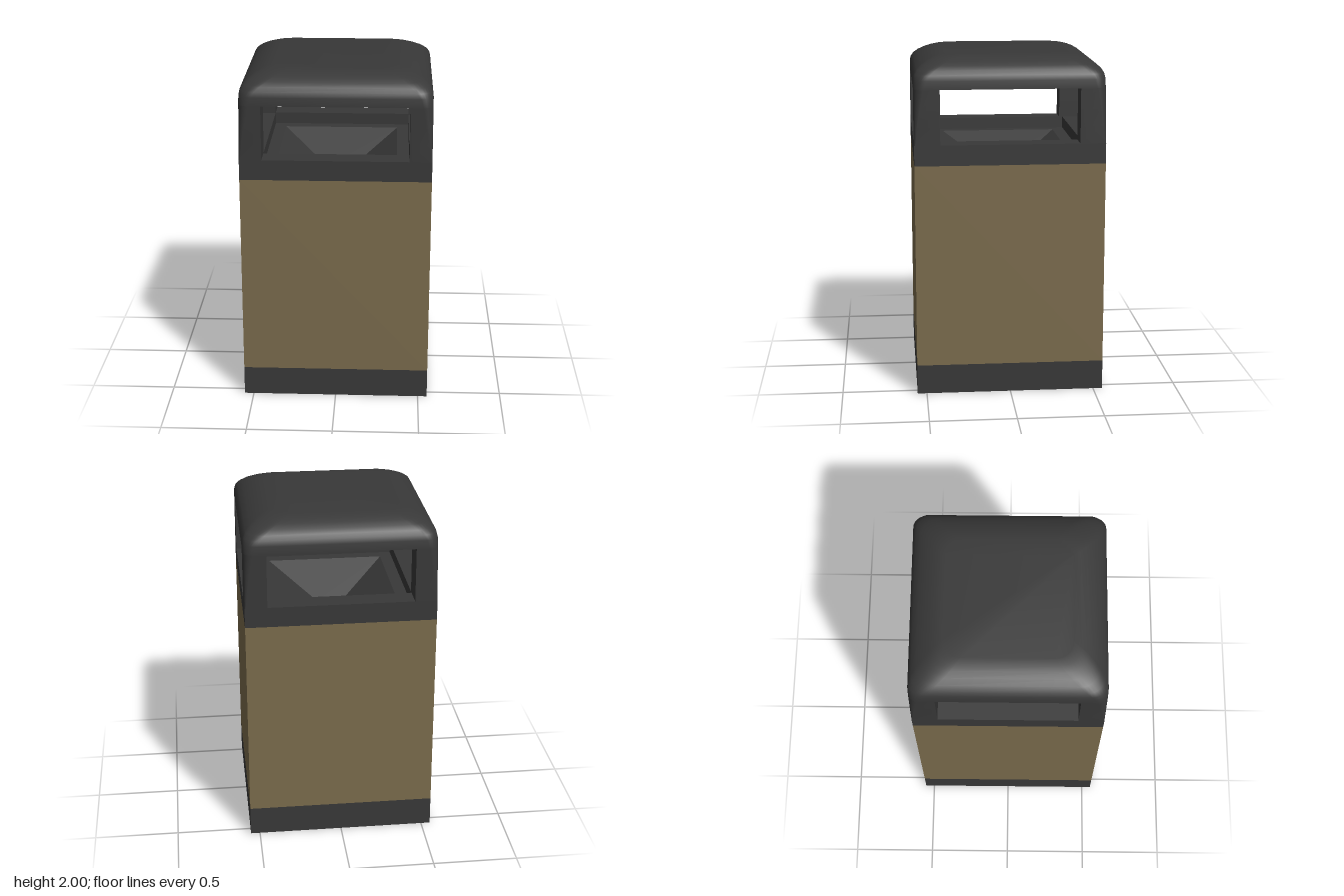
import * as THREE from 'three';
import { toCreasedNormals } from 'three/addons/utils/BufferGeometryUtils.js';

const HALF = 0.555;
const dark = new THREE.MeshStandardMaterial({ color: 0x383838 });
const darkThin = new THREE.MeshStandardMaterial({ color: 0x383838, side: THREE.DoubleSide, flatShading: true });
const brown = new THREE.MeshStandardMaterial({ color: 0x7a6b4c });

// Joins convex rings (counter-clockwise from above, bottom to top) and caps both ends
function loft(rings) {
  const n = rings[0].length, last = (rings.length - 1) * n, index = [];
  for (let r = 0; r < rings.length - 1; r++) {
    for (let i = 0; i < n; i++) {
      const a = r * n + i, b = r * n + (i + 1) % n;
      index.push(a, b, b + n, a, b + n, a + n);
    }
  }
  for (let i = 1; i < n - 1; i++) {
    index.push(0, i + 1, i, last, last + i, last + i + 1);
  }
  const geometry = new THREE.BufferGeometry().setFromPoints(rings.flat());
  geometry.setIndex(index);
  return toCreasedNormals(geometry, 0.7);
}

// Quarter-round corner of a square of half width h, in the quadrant sx, sz
function corner(h, r, y, sx, sz, steps = 8) {
  const points = [];
  for (let i = 0; i <= steps; i++) {
    const a = (i / steps) * Math.PI / 2;
    points.push(new THREE.Vector3(
      sx * (h - r + r * Math.cos(a)), y, sz * (h - r + r * Math.sin(a))));
  }
  return sx * sz > 0 ? points.reverse() : points;
}

const roundedSquare = (y, h, r) =>
  [[1, 1], [1, -1], [-1, -1], [-1, 1]].flatMap(([sx, sz]) => corner(h, r, y, sx, sz));

// Square frame between two heights with a square opening
function frame(outer, inner, y0, y1) {
  const square = (h, type) => new type([
    new THREE.Vector2(-h, -h), new THREE.Vector2(h, -h),
    new THREE.Vector2(h, h), new THREE.Vector2(-h, h)]);
  const shape = square(outer, THREE.Shape);
  shape.holes.push(square(inner, THREE.Path));
  return new THREE.ExtrudeGeometry(shape, { depth: y1 - y0, bevelEnabled: false })
    .rotateX(-Math.PI / 2).translate(0, y0, 0);
}

export function createModel() {
  const model = new THREE.Group();
  model.name = 'litterBin';
  const add = (name, geometry, material) => {
    const mesh = new THREE.Mesh(geometry, material);
    mesh.name = name;
    model.add(mesh);
  };

  // Body: plinth, panelled walls, rim
  add('base', new THREE.BoxGeometry(2 * HALF, 0.175, 2 * HALF).translate(0, 0.0875, 0), dark);
  add('sidePanels', frame(HALF, 0.43, 0.175, 1.38), brown);
  add('rim', frame(HALF, 0.425, 1.38, 1.5), dark);

  // Recessed tray with a four-sided funnel
  add('tray', frame(0.425, 0.353, 1.4, 1.43), dark);
  const funnel = [[0, 1.26], [0.08, 1.26], [0.353, 1.43]]
    .map(([h, y]) => new THREE.Vector2(h * Math.SQRT2, y));
  add('funnel', new THREE.LatheGeometry(funnel, 4).rotateY(Math.PI / 4), darkThin);

  // Corner posts, rounding off gradually towards the roof
  const postLevels = [[1.5, 0.006], [1.6, 0.02], [1.7, 0.035], [1.82, 0.055]];
  for (const sx of [1, -1]) {
    for (const sz of [1, -1]) {
      const rings = postLevels.map(([y, r]) => {
        const p = (x, z) => new THREE.Vector3(sx * x, y, sz * z);
        const inner = [p(HALF, 0.405), p(0.425, 0.405), p(0.425, HALF)];
        if (sx * sz < 0) inner.reverse();
        const outer = corner(HALF, r, y, sx, sz);
        // continue from the end of the rounded corner back to its start
        return [...outer, ...inner];
      });
      add(`${sz > 0 ? 'front' : 'back'}${sx > 0 ? 'Left' : 'Right'}Post`, loft(rings), dark);
    }
  }

  // Soft-edged roof
  const roof = [
    [1.82, 0.555, 0.055], [1.87, 0.555, 0.07], [1.9, 0.549, 0.085], [1.925, 0.534, 0.1],
    [1.95, 0.505, 0.11], [1.97, 0.47, 0.115], [1.985, 0.435, 0.115], [1.995, 0.4, 0.11], [2, 0.36, 0.1]
  ];
  add('roof', loft(roof.map((level) => roundedSquare(...level))), dark);

  return model;
}
